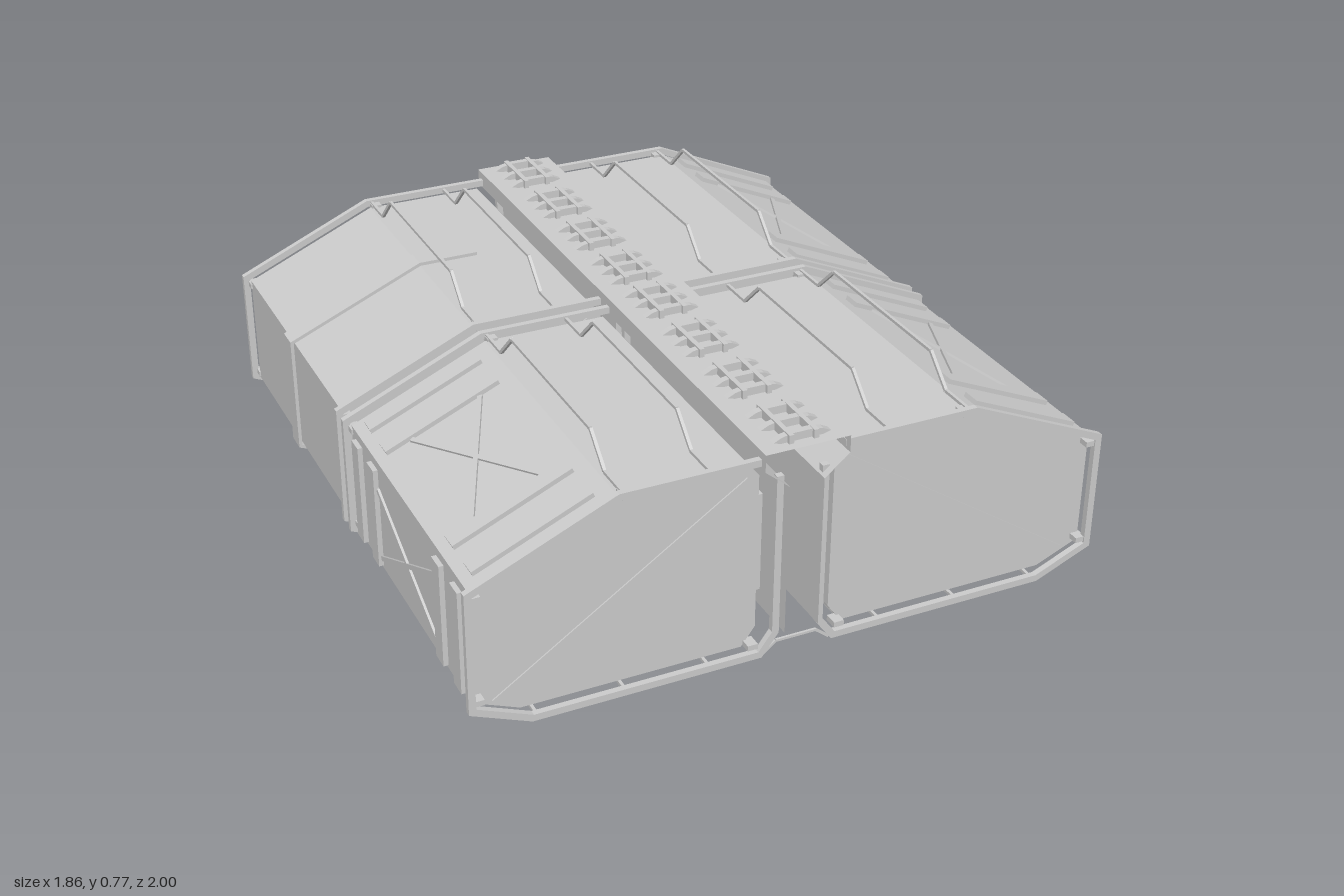
import * as THREE from 'three';

const mat = new THREE.MeshStandardMaterial({ color: 0xcccccc, flatShading: true });
const sheetMat = new THREE.MeshStandardMaterial({ color: 0xcccccc, flatShading: true, side: THREE.DoubleSide });
const V = (x, y, z) => new THREE.Vector3(x, y, z);

function add(parent, name, geo, material = mat) {
  const m = new THREE.Mesh(geo, material);
  m.name = name;
  parent.add(m);
  return m;
}

function box(parent, name, w, h, d, x, y, z) {
  add(parent, name, new THREE.BoxGeometry(w, h, d)).position.set(x, y, z);
}

// Flat bar from p to q; n is the direction of its thickness
function bar(parent, name, p, q, width, thick, n) {
  const dir = q.clone().sub(p), len = dir.length();
  dir.normalize();
  const side = n.clone().cross(dir).normalize();
  const geo = new THREE.BoxGeometry(len, width, thick);
  geo.applyMatrix4(new THREE.Matrix4().makeBasis(dir, side, dir.clone().cross(side)));
  add(parent, name, geo).position.copy(p).add(q).multiplyScalar(0.5);
}

// Round-free rod following a list of points
function rod(parent, name, pts, size, n) {
  for (let i = 1; i < pts.length; i++) bar(parent, name, pts[i - 1], pts[i], size, size, n);
}

// Outline extruded along z, centred on z
function prism(parent, name, pts, depth, z) {
  const shape = new THREE.Shape(pts.map(([x, y]) => new THREE.Vector2(x, y)));
  const geo = new THREE.ExtrudeGeometry(shape, { depth, bevelEnabled: false });
  add(parent, name, geo).position.z = z - depth / 2;
}

// Open band of constant width along a polyline, with mitred corners
function band(pts, w) {
  const p = pts.map(([x, y]) => new THREE.Vector2(x, y));
  const normal = (a, b) => new THREE.Vector2(b.y - a.y, a.x - b.x).normalize();
  const inner = p.map((c, i) => {
    const n1 = i ? normal(p[i - 1], c) : normal(c, p[1]);
    const n2 = i < p.length - 1 ? normal(c, p[i + 1]) : n1;
    const k = w / (1 + n1.dot(n2));
    return [c.x + (n1.x + n2.x) * k, c.y + (n1.y + n2.y) * k];
  });
  return [...pts, ...inner.reverse()];
}

const BODY = [[0.11, 0.63], [0.15, 0.68], [0.51, 0.68], [0.91, 0.505], [0.91, 0.165], [0.78, 0.11], [0.15, 0.11], [0.11, 0.165]];
const FRAME = [[0.12, 0.697], [0.515, 0.697], [0.93, 0.515], [0.93, 0.155], [0.76, 0.083], [0.105, 0.083], [0.056, 0.15], [0.056, 0.635]];
const SLOPE = V(0.4, 0.914, 0);

function createPod(sx, sz) {
  const g = new THREE.Group();
  g.name = 'cargoPod';
  const flip = (pts) => pts.map(([x, y]) => [sx * x, y]);
  const P = (x, y, z) => V(sx * x, y, z);
  const out = V(sx, 0, 0), up = V(0, 1, 0), slopeN = P(SLOPE.x, SLOPE.y, 0);

  prism(g, 'podBody', flip(BODY), 0.89, 0);

  for (const s of [-1, 1]) {
    prism(g, 'endFrame', flip(band(FRAME, 0.02)), 0.018, s * 0.47);
    // Diagonal brace on the end wall
    bar(g, 'endBrace', P(0.14, 0.625, s * 0.445), P(0.85, 0.15, s * 0.445), 0.018, 0.008, V(0, 0, 1));
    // Short struts from body to frame
    for (const [x, y] of [[0.13, 0.12], [0.9, 0.49], [0.9, 0.18], [0.49, 0.68]])
      box(g, 'frameStrut', 0.03, 0.016, 0.04, sx * x, y, s * 0.455);
    // Straps under the floor
    box(g, 'floorStrap', 0.62, 0.014, 0.075, sx * 0.465, 0.104, s * 0.37);
  }

  // Straps on the inner wall
  for (const z of [-0.385, -0.255, 0.255, 0.385])
    box(g, 'innerStrap', 0.03, 0.295, 0.055, sx * 0.096, 0.402, z);

  // Guard rails standing off the roof and the floor
  const rail = (x, y0, y1) => rod(g, 'guardRail',
    [[-0.47, y0], [-0.35, y0], [-0.265, y1], [0.265, y1], [0.35, y0], [0.47, y0]].map(([z, y]) => P(x, y, z)), 0.009, V(1, 0, 0));
  for (const x of [0.257, 0.498]) rail(x, 0.688, 0.768);
  for (const x of [0.257, 0.498, 0.745]) rail(x, 0.095, 0.005);

  if (sx < 0 && sz < 0) {
    // Plain pod: one wide belt over the roof, side and floor
    const belt = [[0.33, 0.682], [0.51, 0.682], [0.915, 0.508], [0.915, 0.163], [0.78, 0.106], [0.15, 0.106]];
    prism(g, 'belt', flip(band(belt, -0.01)), 0.065, -0.007);
  } else {
    // Straps and cross braces on the side and the sloping shoulder
    for (const z of [-0.385, -0.255, 0.255, 0.385]) {
      box(g, 'sideStrap', 0.016, 0.305, 0.054, sx * 0.916, 0.327, z);
      bar(g, 'shoulderStrap', P(0.553, 0.667, z), P(0.882, 0.523, z), 0.054, 0.016, slopeN);
    }
    for (const s of [-1, 1]) {
      bar(g, 'sideBrace', P(0.912, 0.2, -0.225 * s), P(0.912, 0.42, 0.225 * s), 0.014, 0.01, out);
      bar(g, 'shoulderBrace', P(0.61, 0.638, -0.225 * s), P(0.81, 0.551, 0.225 * s), 0.014, 0.01, slopeN);
    }
  }
  g.position.z = sz * 0.5;
  return g;
}

function createSpine() {
  const g = new THREE.Group();
  g.name = 'spine';

  // Thin folded cover running the full length
  const half = [[0.05, 0.16], [0.05, 0.61], [0.122, 0.67], [0.122, 0.72]];
  const fold = [...half.map(([x, y]) => [-x, y]), ...half.slice().reverse()];
  const geo = new THREE.PlaneGeometry(1, 2, fold.length - 1, 1);
  const pos = geo.attributes.position;
  for (let i = 0; i < pos.count; i++) {
    const [x, y] = fold[i % fold.length];
    pos.setXYZ(i, x, y, i < fold.length ? -1 : 1);
  }
  const cover = geo.toNonIndexed();
  cover.computeVertexNormals();
  add(g, 'spineCover', cover, sheetMat);

  // Eight clamps, each with two rails and curved cross ribs
  const rib = [[-0.083, 0.727], [-0.06, 0.721], [0.06, 0.721], [0.083, 0.727], [0.06, 0.738], [0.03, 0.744], [-0.03, 0.744], [-0.06, 0.738]];
  for (const s of [-1, 1]) for (const z of [0.118, 0.373, 0.628, 0.885]) {
    for (const x of [-0.036, 0.036]) box(g, 'clampRail', 0.014, 0.026, 0.18, x, 0.732, s * z);
    for (const dz of [-0.07, 0, 0.07]) prism(g, 'clampRib', rib, 0.02, s * z + dz);
  }

  // Links joining the lower frames across the gap
  for (const z of [-0.97, -0.03, 0.03, 0.97])
    rod(g, 'frameLink', [V(-0.1, 0.088, z), V(-0.06, 0.12, z), V(0.06, 0.12, z), V(0.1, 0.088, z)], 0.007, V(0, 0, 1));
  box(g, 'centreLink', 0.06, 0.014, 0.12, 0, 0.162, 0);
  return g;
}

export function createModel() {
  const model = new THREE.Group();
  model.name = 'cargoModule';
  for (const sx of [-1, 1]) for (const sz of [-1, 1]) model.add(createPod(sx, sz));
  model.add(createSpine());
  return model;
}
